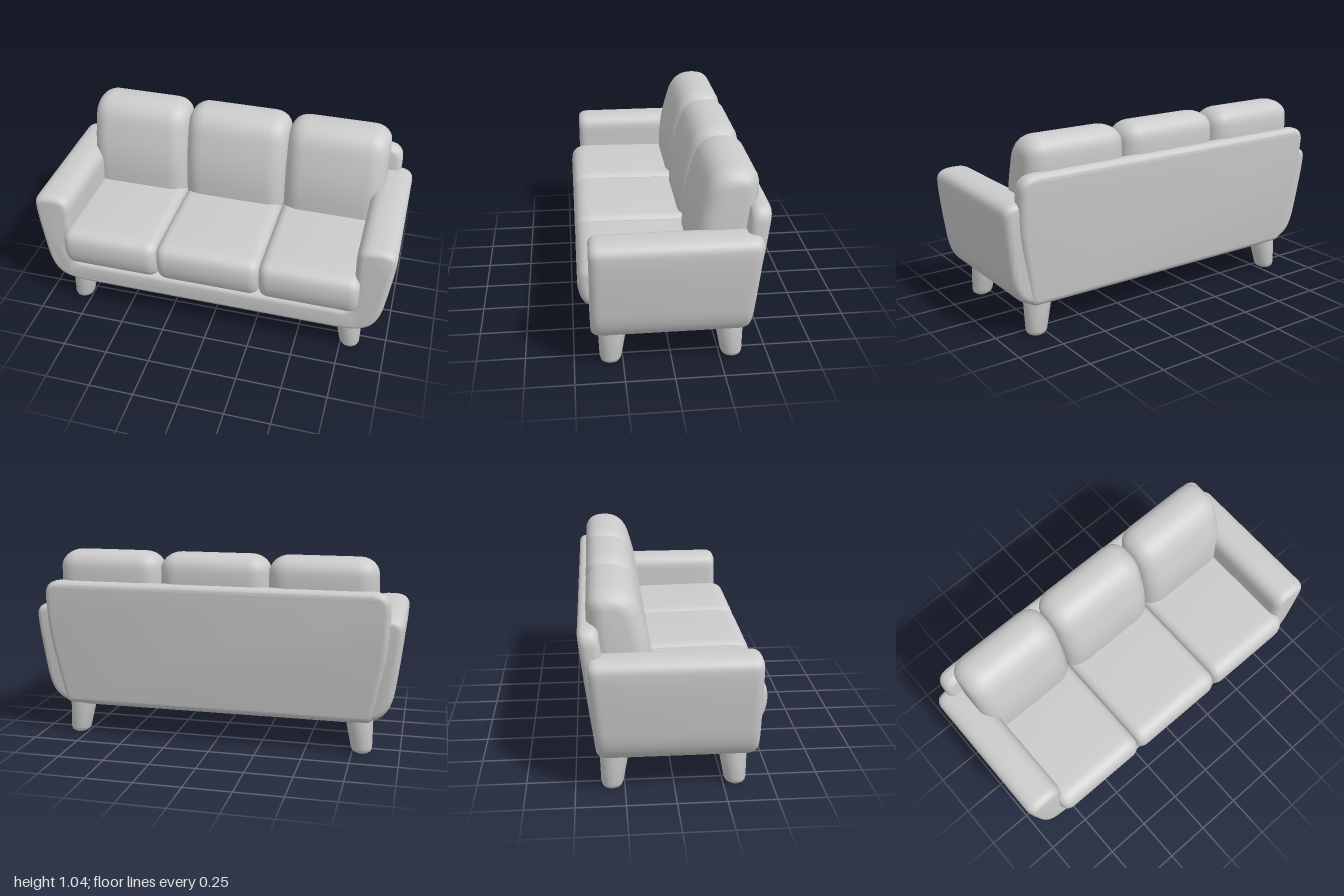
import * as THREE from 'three';
import { toCreasedNormals } from 'three/addons/utils/BufferGeometryUtils.js';

const material = new THREE.MeshStandardMaterial({ color: 0xcccccc });

// Closed outline from corners [x, y, radius]
function roundedShape(corners) {
  const shape = new THREE.Shape();
  const n = corners.length;
  corners.forEach(([x, y, r], i) => {
    const p = new THREE.Vector2(x, y);
    const toward = ([qx, qy]) => {
      const d = new THREE.Vector2(qx, qy).sub(p);
      return d.setLength(Math.min(r, d.length() * 0.49)).add(p);
    };
    const a = toward(corners[(i + n - 1) % n]);
    const b = toward(corners[(i + 1) % n]);
    if (i === 0) shape.moveTo(a.x, a.y);
    else shape.lineTo(a.x, a.y);
    shape.quadraticCurveTo(x, y, b.x, b.y);
  });
  shape.closePath();
  return shape;
}

// Extrusion centred on z whose soft edges stay inside the outline
function softExtrude(corners, length, bevelSize, bevelThickness) {
  return new THREE.ExtrudeGeometry(roundedShape(corners), {
    depth: length - 2 * bevelThickness,
    bevelSize, bevelThickness, bevelOffset: -bevelSize,
    bevelSegments: 6, curveSegments: 8,
  }).translate(0, 0, bevelThickness - length / 2);
}

function moveVertices(geometry, rule) {
  const pos = geometry.attributes.position;
  const v = new THREE.Vector3();
  for (let i = 0; i < pos.count; i++) {
    rule(v.fromBufferAttribute(pos, i));
    pos.setXYZ(i, v.x, v.y, v.z);
  }
  return geometry;
}

function part(name, geometry) {
  const mesh = new THREE.Mesh(toCreasedNormals(geometry, 0.8), material);
  mesh.name = name;
  return mesh;
}

export function createModel() {
  const sofa = new THREE.Group();
  sofa.name = 'sofa';

  // Arms and base: one U-shaped body with a slightly leaning rear
  const half = [
    [0.84, 0.17, 0.12], [0.95, 0.25, 0.12], [1.0, 0.62, 0.2],
    [1.0, 0.75, 0.09], [0.79, 0.75, 0.09], [0.8, 0.32, 0.06],
  ];
  const outline = [...half, ...half.map(([x, y, r]) => [-x, y, r]).reverse()];
  const body = softExtrude(outline, 0.8, 0.035, 0.05).translate(0, 0, 0.01);
  moveVertices(body, (v) => {
    if (v.z < 0) v.z -= 0.07 * (v.y - 0.25);
    else v.z += 0.002;
  });
  sofa.add(part('armsAndBase', body));

  // Leaning back panel
  const panel = softExtrude([
    [-0.86, 0.175, 0.05], [0.86, 0.175, 0.05], [0.93, 0.6, 0.1],
    [0.93, 0.885, 0.09], [-0.93, 0.885, 0.09], [-0.93, 0.6, 0.1],
  ], 0.1, 0.035, 0.04);
  moveVertices(panel, (v) => { v.z -= 0.338 + 0.115 * (v.y - 0.18); });
  sofa.add(part('backPanel', panel));

  // Three seat and three back cushions, outlined in side view (z, y)
  const seatProfile = [
    [-0.3, 0.32, 0.05], [0.43, 0.315, 0.09], [0.475, 0.43, 0.1],
    [0.455, 0.56, 0.1], [0.3, 0.562, 0.1], [-0.3, 0.55, 0.05],
  ];
  const backProfile = [
    [-0.36, 0.45, 0.1], [-0.1, 0.45, 0.1], [-0.105, 0.74, 0.12],
    [-0.19, 1.045, 0.13], [-0.42, 1.045, 0.13], [-0.425, 0.85, 0.1],
  ];
  for (const side of [-1, 0, 1]) {
    const seat = softExtrude(seatProfile, side ? 0.54 : 0.575, 0.045, 0.055);
    seat.rotateY(-Math.PI / 2).translate(side * 0.56, 0, 0);
    sofa.add(part('seatCushion', seat));

    const back = softExtrude(backProfile, side ? 0.565 : 0.585, 0.085, 0.1);
    back.rotateY(-Math.PI / 2).translate(side * 0.576, 0, 0);
    sofa.add(part('backCushion', back));
  }

  // Tapered legs with rounded feet, upright on the outer sides
  const legProfile = [
    [0, 0], [0.035, 0.002], [0.05, 0.012], [0.057, 0.03], [0.076, 0.2], [0, 0.2],
  ].map(([x, y]) => new THREE.Vector2(x, y));
  for (const sx of [-1, 1]) {
    for (const sz of [-1, 1]) {
      const leg = moveVertices(new THREE.LatheGeometry(legProfile, 14), (v) => {
        v.x += sx * (0.802 - 0.11 * v.y);
        v.z += sz * (0.315 - 0.08 * v.y);
      });
      sofa.add(part('leg', leg));
    }
  }
  return sofa;
}
